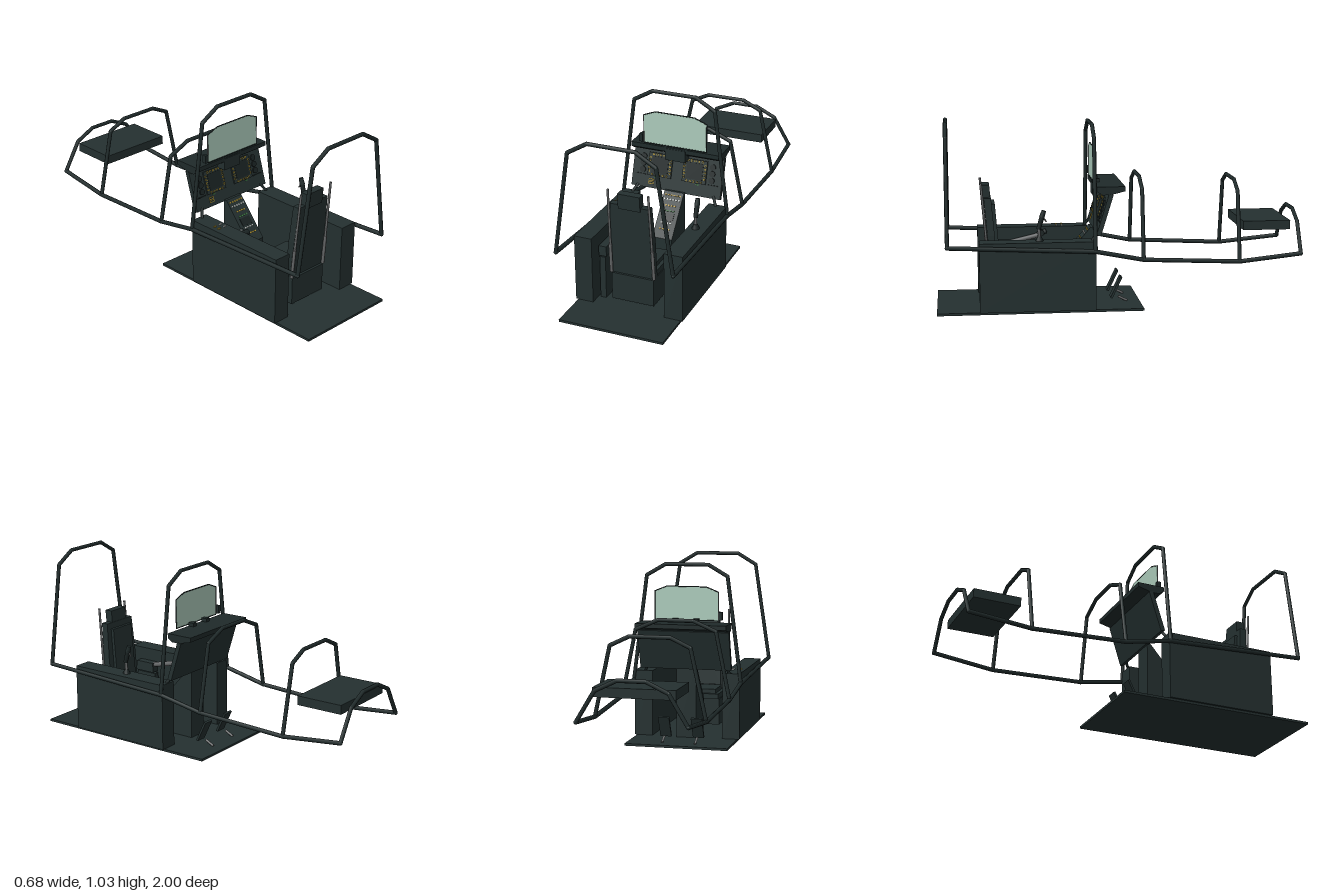
import * as THREE from 'three';

const mat = (name, color, double) => {
  const m = new THREE.MeshStandardMaterial({ color, side: double ? THREE.DoubleSide : THREE.FrontSide });
  m.name = name;
  return m;
};

export function createModel() {
  const root = new THREE.Group();
  root.name = 'cockpit';
  const body = mat('dark slate', 0x243030);
  const frame = mat('frame slate', 0x1f2a2a);
  const black = mat('screen black', 0x1a2323);
  const grey = mat('metal grey', 0x666869);
  const glassMat = mat('pale green glass', 0xaccbbb, true);
  const yellow = mat('button yellow', 0xb5952c);
  const green = mat('button green', 0x3f7f45);
  const white = mat('marking white', 0xc8ccc8);

  const group = (name, parent = root) => {
    const g = new THREE.Group();
    g.name = name;
    parent.add(g);
    return g;
  };
  const add = (name, geo, m, parent = root) => {
    const mesh = new THREE.Mesh(geo, m);
    mesh.name = name;
    parent.add(mesh);
    return mesh;
  };
  // Box given by its lower and upper limits
  const box = (name, [x0, x1], [y0, y1], [z0, z1], m = body, parent = root) => {
    const b = add(name, new THREE.BoxGeometry(x1 - x0, y1 - y0, z1 - z0), m, parent);
    b.position.set((x0 + x1) / 2, (y0 + y1) / 2, (z0 + z1) / 2);
    return b;
  };
  // Straight rod between two points
  const rod = (name, a, b, r, m = frame, parent = root, sides = 8, r2 = r) => {
    const p = new THREE.Vector3(...a), q = new THREE.Vector3(...b), d = q.clone().sub(p);
    const c = add(name, new THREE.CylinderGeometry(r2, r, d.length(), sides), m, parent);
    c.position.copy(p).add(q).multiplyScalar(0.5);
    c.quaternion.setFromUnitVectors(new THREE.Vector3(0, 1, 0), d.normalize());
    return c;
  };
  // Bent tube through points, with round joints
  const pipe = (name, pts, r, parent = root) => {
    const g = group(name, parent);
    pts.forEach((p, i) => {
      add('joint', new THREE.SphereGeometry(r, 8, 6), frame, g).position.set(...p);
      if (i) rod('tube', pts[i - 1], p, r, frame, g);
    });
  };
  const shapeOf = pts => new THREE.Shape(pts.map(p => new THREE.Vector2(...p)));
  // Side profile in (z, y), extruded across x
  const profile = (name, pts, width, m, x = 0) => {
    const g = new THREE.ExtrudeGeometry(shapeOf(pts), { depth: width, bevelEnabled: false });
    g.rotateY(-Math.PI / 2).translate(x + width / 2, 0, 0);
    return add(name, g, m);
  };

  // Floor
  box('floor', [-0.295, 0.295], [0, 0.013], [-0.12, 1]);

  // Canopy frame: five hoops [z, foot, shoulder, crown] joined by side rails
  const hoops = [
    [0.94, [0.327, 0.375], [0.24, 0.95], [0.13, 1.016]],
    [0.147, [0.314, 0.337], [0.235, 0.94], [0.125, 1.004]],
    [-0.115, [0.305, 0.285], [0.228, 0.66], [0.1, 0.715]],
    [-0.645, [0.298, 0.262], [0.215, 0.64], [0.11, 0.69]],
    [-0.988, [0.288, 0.297], [0.19, 0.46], [0.075, 0.515]],
  ];
  hoops.forEach(([z, ...p]) => pipe('canopyHoop', [
    ...p.map(([x, y]) => [-x, y, z]), ...p.reverse().map(([x, y]) => [x, y, z])], 0.011));
  for (const s of [-1, 1])
    pipe('sideRail', hoops.map(([z, , , ]) => z).map((z, i) => {
      const foot = [[0.327, 0.375], [0.314, 0.337], [0.305, 0.285], [0.298, 0.262], [0.288, 0.297]][i];
      return [s * foot[0], foot[1], z];
    }), 0.012);

  // Nose equipment box
  box('noseBox', [-0.215, 0.215], [0.42, 0.47], [-0.943, -0.68]);

  // Side consoles
  for (const s of [-1, 1]) {
    const lim = s > 0 ? [0.203, 0.308] : [-0.308, -0.208];
    box('sideConsole', lim, [0.013, 0.39], [0.143, 0.77]);
    rod('panelStrut', [s * 0.225, 0.43, 0.13], [s * 0.25, 0.385, 0.16], 0.008);
  }
  for (let i = 0; i < 2; i++) for (let j = 0; j < 2; j++)
    box('consoleButton', [-0.285 + i * 0.04, -0.267 + i * 0.04], [0.39, 0.396], [0.283 + j * 0.032, 0.29 + j * 0.032],
      i ? white : yellow);

  // Centre pedestal with sloping key panel
  profile('pedestal', [[0.13, 0.013], [0.325, 0.013], [0.325, 0.22], [0.15, 0.425], [0.13, 0.425]], 0.115, body);
  const keys = group('pedestalKeys');
  keys.position.set(0, 0.3225, 0.2375);
  keys.rotation.x = -Math.atan2(0.175, 0.205);
  [0.11, 0.085, 0.05, 0.02, -0.05, -0.085].forEach((y, r) => {
    const n = r < 2 ? 6 : 4;
    for (let i = 0; i < n; i++) {
      const x = (i - (n - 1) / 2) * 0.017;
      box('key', [x - 0.005, x + 0.005], [y, y + 0.007], [0, 0.004],
        r === 3 ? green : r === 1 || r === 4 ? white : yellow, keys);
    }
  });
  box('keyScreen', [-0.035, 0.035], [-0.035, 0.01], [0, 0.003], black, keys);

  // Instrument panel, tilted back at the top
  const panel = group('instrumentPanel');
  panel.position.set(0, 0.53, 0.103);
  panel.rotation.x = -0.3;
  box('panelPlate', [-0.265, 0.265], [-0.117, 0.117], [-0.025, 0], body, panel);
  for (const s of [-1, 1]) {
    const cx = s * 0.103;
    // Display with rows of outline keys on its four sides
    box('displayBezel', [cx - 0.07, cx + 0.07], [-0.047, 0.083], [0, 0.008], body, panel);
    box('displayScreen', [cx - 0.048, cx + 0.048], [-0.028, 0.064], [0.008, 0.01], black, panel);
    for (let i = -2; i <= 2; i++) for (const t of [-1, 1])
      for (const [x, y] of [[cx + i * 0.021, 0.018 + t * 0.057], [cx + t * 0.061, 0.018 + i * 0.019]]) {
        box('displayKey', [x - 0.005, x + 0.005], [y - 0.005, y + 0.005], [0.008, 0.012], yellow, panel);
        box('keyFace', [x - 0.003, x + 0.003], [y - 0.003, y + 0.003], [0.012, 0.013], body, panel);
      }
    // Dials beside the display
    for (let i = 0; i < 3; i++) {
      const dial = add('dial', new THREE.CylinderGeometry(0.017, 0.017, 0.008, 16), black, panel);
      dial.rotation.x = Math.PI / 2;
      dial.position.set(s * 0.205, 0.055 - i * 0.037, 0.003);
    }
    box('switchRow', [s * 0.215 - 0.03, s * 0.215 + 0.03], [-0.048, -0.043], [0, 0.006], black, panel);
    box('statusLight', [s * 0.125 - 0.008, s * 0.125 + 0.008], [-0.057, -0.052], [0, 0.004], green, panel);
  }
  for (const y of [-0.095, -0.078]) {
    box('warningLight', [-0.163, -0.133], [y, y + 0.013], [0, 0.004], yellow, panel);
    box('warningFace', [-0.16, -0.136], [y + 0.003, y + 0.01], [0.004, 0.005], body, panel);
  }
  box('centreKeys', [-0.11, -0.09], [0.095, 0.105], [0, 0.004], white, panel);

  // Glareshield with sloping lip
  profile('glareshield', [[-0.02, 0.655], [0.06, 0.635], [0.105, 0.635], [0.135, 0.655], [0.135, 0.68], [-0.02, 0.68]],
    0.525, frame);
  box('sightHousing', [-0.06, 0.06], [0.605, 0.672], [0.08, 0.137]);

  // Head-up glass, thin edge frame and supports
  const outline = [[-0.185, 0.69], [0.185, 0.69], [0.185, 0.852], [0.115, 0.88], [-0.115, 0.88], [-0.185, 0.852]];
  add('sightGlass', new THREE.ExtrudeGeometry(shapeOf(outline), { depth: 0.003, bevelEnabled: false }), glassMat)
    .position.z = 0.134;
  outline.forEach((p, i) => {
    const q = outline[(i + 1) % outline.length];
    rod('glassEdge', [...p, 0.1355], [...q, 0.1355], 0.003, i === 5 ? grey : frame, root, 6);
  });
  for (const x of [-0.06, 0.06]) box('glassSupport', [x - 0.015, x + 0.015], [0.675, 0.7], [0.1, 0.134], frame);
  box('glassSensor', [-0.21, -0.19], [0.695, 0.74], [0.12, 0.145], frame);

  // Seat: base, cushion, leaning back, headrest and ejection rails
  box('seatBase', [-0.12, 0.12], [0.03, 0.185], [0.46, 0.715]);
  box('seatPan', [-0.115, 0.115], [0.185, 0.215], [0.45, 0.69]);
  box('seatCushion', [-0.095, 0.095], [0.215, 0.24], [0.47, 0.64]);
  const lean = g => {
    const p = g.attributes.position;
    for (let i = 0; i < p.count; i++) p.setZ(i, p.getZ(i) + (p.getY(i) - 0.185) * 0.085);
    g.computeVertexNormals();
    return g;
  };
  const slab = (name, pts, depth, z) => add(name, lean(
    new THREE.ExtrudeGeometry(shapeOf(pts), { depth, bevelEnabled: false }).translate(0, 0, z)), body);
  slab('seatBack', [[-0.12, 0.185], [0.12, 0.185], [0.12, 0.4], [0.11, 0.605], [-0.11, 0.605], [-0.12, 0.4]], 0.04, 0.663);
  slab('backCushion', [[-0.085, 0.24], [0.085, 0.24], [0.08, 0.57], [-0.08, 0.57]], 0.02, 0.645);
  slab('headrest', [[-0.062, 0.585], [0.062, 0.585], [0.062, 0.672], [-0.062, 0.672]], 0.045, 0.665);
  for (const s of [-1, 1]) {
    rod('seatRail', [s * 0.122, 0.19, 0.712], [s * 0.113, 0.69, 0.754], 0.0065, grey);
    rod('railSleeve', [s * 0.122, 0.19, 0.712], [s * 0.12, 0.36, 0.726], 0.009, grey);
  }

  // Throttle on its post at the left hand
  const throttle = group('throttle');
  box('throttlePost', [-0.196, -0.163], [0.013, 0.257], [0.57, 0.7], body, throttle);
  box('throttleBox', [-0.201, -0.157], [0.263, 0.32], [0.58, 0.7], body, throttle);
  rod('throttleArm', [-0.18, 0.305, 0.6], [-0.178, 0.345, 0.43], 0.014, grey, throttle, 12);
  rod('throttleGrip', [-0.205, 0.358, 0.41], [-0.15, 0.362, 0.41], 0.018, black, throttle, 10);
  rod('throttleHorn', [-0.178, 0.35, 0.43], [-0.175, 0.37, 0.38], 0.015, frame, throttle, 10);

  // Control stick on the right console
  const stick = group('controlStick');
  rod('stickBoot', [0.247, 0.39, 0.445], [0.247, 0.415, 0.445], 0.022, black, stick, 12, 0.011);
  rod('stickShaft', [0.247, 0.41, 0.445], [0.249, 0.47, 0.448], 0.008, grey, stick, 10);
  rod('stickGrip', [0.249, 0.455, 0.45], [0.25, 0.53, 0.428], 0.012, black, stick, 10, 0.014);
  rod('stickHead', [0.25, 0.52, 0.432], [0.25, 0.555, 0.42], 0.015, frame, stick, 10, 0.012);
  rod('stickTrigger', [0.25, 0.52, 0.425], [0.25, 0.495, 0.408], 0.004, grey, stick, 6);

  // Rudder pedals
  for (const s of [-1, 1]) {
    const pedal = box('rudderPedal', [s * 0.095 - 0.032, s * 0.095 + 0.032], [0.03, 0.16], [0.007, 0.019]);
    pedal.rotation.x = -0.44;
    rod('pedalArm', [s * 0.095, 0.04, 0], [s * 0.095, 0.015, -0.05], 0.007, grey);
  }
  return root;
}
